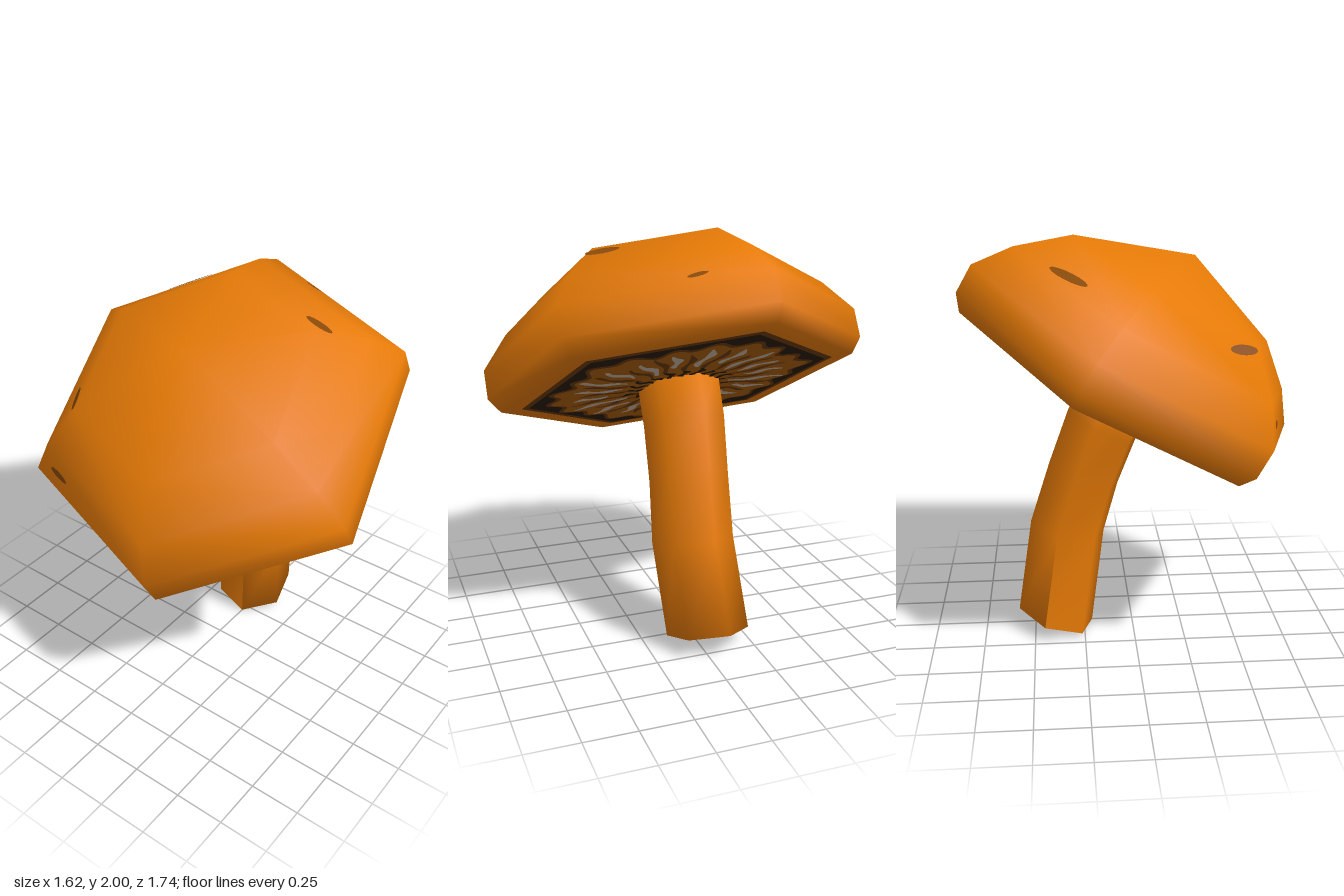
import * as THREE from 'three';
import { toCreasedNormals } from 'three/addons/utils/BufferGeometryUtils.js';

const rad = THREE.MathUtils.degToRad;
const colour = (name, hex) => {
  const m = new THREE.MeshStandardMaterial({ color: hex });
  m.name = name;
  return m;
};

// Cap profile: [corner radius, height along the cap axis]
const PROFILE = [[0.86, 1.04], [0.915, 1.115], [0.915, 1.26], [0.787, 1.42], [0.568, 1.595], [0, 1.787]];
const TURN = 12; // turn of the six-sided cap about its axis, in degrees
const UNDER = 1.04;

// Stem rings: [x, y, z, tilt in degrees, radius]
const RINGS = [
  [0.394, 0.062, -0.045, 18, 0.2], [0.325, 0.53, 0.01, 15, 0.195],
  [0.24, 0.815, 0.0, 23, 0.19], [0.145, 1.07, -0.01, 27, 0.195], [0.04, 1.29, -0.01, 30, 0.197],
];

export function createModel() {
  const orange = colour('orange skin', 0xe67a06);
  const brown = colour('brown gills', 0xac5e0c);
  const darkBrown = colour('dark brown', 0x6a3908);
  const black = colour('deep shade', 0x2a1a0a);
  const grey = colour('grey gills', 0xc4b3a2);
  const spotBrown = colour('spot brown', 0x8a4a0a);

  const model = new THREE.Group();
  model.name = 'mushroom';
  const add = (parent, name, geometry, material) => {
    const mesh = new THREE.Mesh(geometry, material);
    mesh.name = name;
    parent.add(mesh);
    return mesh;
  };

  // Bent six-sided stem, rounded over its foot by soft normals
  const stem = new THREE.CylinderGeometry(1, 1, 4, 6, 4, false, rad(-77));
  const pos = stem.attributes.position;
  for (let i = 0; i < pos.count; i++) {
    const [x, y, z, tilt, r] = RINGS[Math.round(pos.getY(i) + 2)];
    const px = pos.getX(i) * r;
    pos.setXYZ(i, x + px * Math.cos(rad(tilt)), y + px * Math.sin(rad(tilt)), z + pos.getZ(i) * r);
  }
  add(model, 'stem', toCreasedNormals(stem, 1.7), orange);

  // Tilted cap
  const cap = new THREE.Group();
  cap.name = 'cap';
  cap.position.set(0.593, 0.3425, 0);
  cap.rotation.z = rad(30);
  model.add(cap);
  const points = [[0.74, UNDER], ...PROFILE].map(([r, t]) => new THREE.Vector2(r, t));
  const skin = new THREE.LatheGeometry(points, 6, rad(90 + TURN));
  // one shared normal at the apex keeps the dome smooth
  for (let i = points.length - 1; i < skin.attributes.normal.count; i += points.length) {
    skin.attributes.normal.setXYZ(i, 0, 1, 0);
  }
  add(cap, 'capSkin', skin, orange);

  // Flat layers under the cap, facing down
  const layer = (name, shapes, depth, material) => {
    const g = new THREE.ShapeGeometry(shapes);
    g.rotateX(Math.PI / 2);
    g.translate(0, UNDER - depth, 0);
    return add(cap, name, g, material);
  };
  const outline = (n, radius) => {
    const pts = [];
    for (let i = 0; i < n; i++) {
      const a = (i / n) * Math.PI * 2 - rad(TURN);
      const r = radius(a);
      pts.push(new THREE.Vector2(r * Math.cos(a), r * Math.sin(a)));
    }
    return new THREE.Shape(pts);
  };
  const scallop = (size) => (a) =>
    size + 0.026 * Math.cos(6 * (a + rad(TURN))) + 0.028 * Math.cos(20 * a) + 0.012 * Math.sin(9 * a);
  layer('underRim', outline(6, () => 0.76), 0.001, darkBrown);
  layer('underShade', outline(6, () => 0.725), 0.003, black);
  layer('gillEdge', outline(180, scallop(0.6)), 0.005, darkBrown);
  layer('gills', outline(180, scallop(0.575)), 0.007, brown);

  // Wavy radial streaks
  const streak = (angle, r0, r1, width, wave) => {
    const side = [[], []];
    for (let i = 0; i <= 8; i++) {
      const s = i / 8;
      const r = r0 + (r1 - r0) * s;
      const mid = 0.013 * Math.sin(s * 7 + wave);
      const half = width * Math.sqrt(Math.sin(Math.PI * (0.04 + 0.92 * s))) * (0.8 + 0.25 * Math.sin(s * 11 + wave));
      [-1, 1].forEach((k, j) => {
        const c = mid + k * half;
        side[j].push(new THREE.Vector2(
          r * Math.cos(angle) - c * Math.sin(angle),
          r * Math.sin(angle) + c * Math.cos(angle)));
      });
    }
    return new THREE.Shape([...side[0], ...side[1].reverse()]);
  };
  const greys = [], darks = [], teeth = [];
  const COUNT = 20;
  for (let i = 0; i < COUNT; i++) {
    const a = (i / COUNT) * Math.PI * 2;
    const step = Math.PI / COUNT;
    const vary = Math.sin(i * 2.4);
    greys.push(streak(a, 0.3 + 0.04 * vary, 0.53 + 0.03 * Math.cos(i * 1.7), 0.024, i));
    darks.push(streak(a + step, 0.24, 0.5 + 0.04 * vary, 0.019, i * 1.3));
    teeth.push(streak(a + step, 0.16, 0.26 + 0.02 * vary, 0.02, i));
  }
  layer('gillGrooves', darks, 0.009, darkBrown);
  layer('gillRidges', greys, 0.01, grey);
  layer('gillRoots', teeth, 0.011, black);

  // Point and normal on the cap skin at (u, w) across its axis
  const onSkin = (u, w) => {
    let face = 0, d = -1;
    for (let k = 0; k < 6; k++) {
      const a = rad(TURN + 30 + 60 * k);
      const dist = u * Math.cos(a) + w * Math.sin(a);
      if (dist > d) { d = dist; face = a; }
    }
    const dome = PROFILE.slice(2).map(([r, t]) => [r * Math.cos(Math.PI / 6), t]);
    let i = 0;
    while (i < dome.length - 2 && d < dome[i + 1][0]) i++;
    const [[r0, t0], [r1, t1]] = [dome[i], dome[i + 1]];
    const t = t0 + ((t1 - t0) * (r0 - d)) / (r0 - r1);
    const rise = t1 - t0, run = r0 - r1;
    return {
      point: new THREE.Vector3(u, t, -w),
      normal: new THREE.Vector3(rise * Math.cos(face), run, -rise * Math.sin(face)).normalize(),
    };
  };

  // Small oval marks, each between two points on the skin
  const spots = [
    [0.42, 0.485, 0.59, 0.335, 0.026], [0.415, -0.47, 0.46, -0.32, 0.03],
    [0.785, -0.06, 0.765, -0.15, 0.014], [-0.25, 0.52, -0.38, 0.44, 0.026],
    [-0.6, 0.55, -0.64, 0.42, 0.018],
  ];
  for (const [u0, w0, u1, w1, half] of spots) {
    const a = onSkin(u0, w0).point, b = onSkin(u1, w1).point;
    const { point, normal } = onSkin((u0 + u1) / 2, (w0 + w1) / 2);
    const along = b.clone().sub(a);
    const length = along.length();
    along.addScaledVector(normal, -along.dot(normal)).normalize();
    const across = normal.clone().cross(along);
    const spot = add(cap, 'capSpot', new THREE.CircleGeometry(1, 16), spotBrown);
    spot.quaternion.setFromRotationMatrix(new THREE.Matrix4().makeBasis(along, across, normal));
    spot.scale.set(length / 2, half, 1);
    spot.position.copy(point).addScaledVector(normal, 0.005);
  }
  return model;
}
